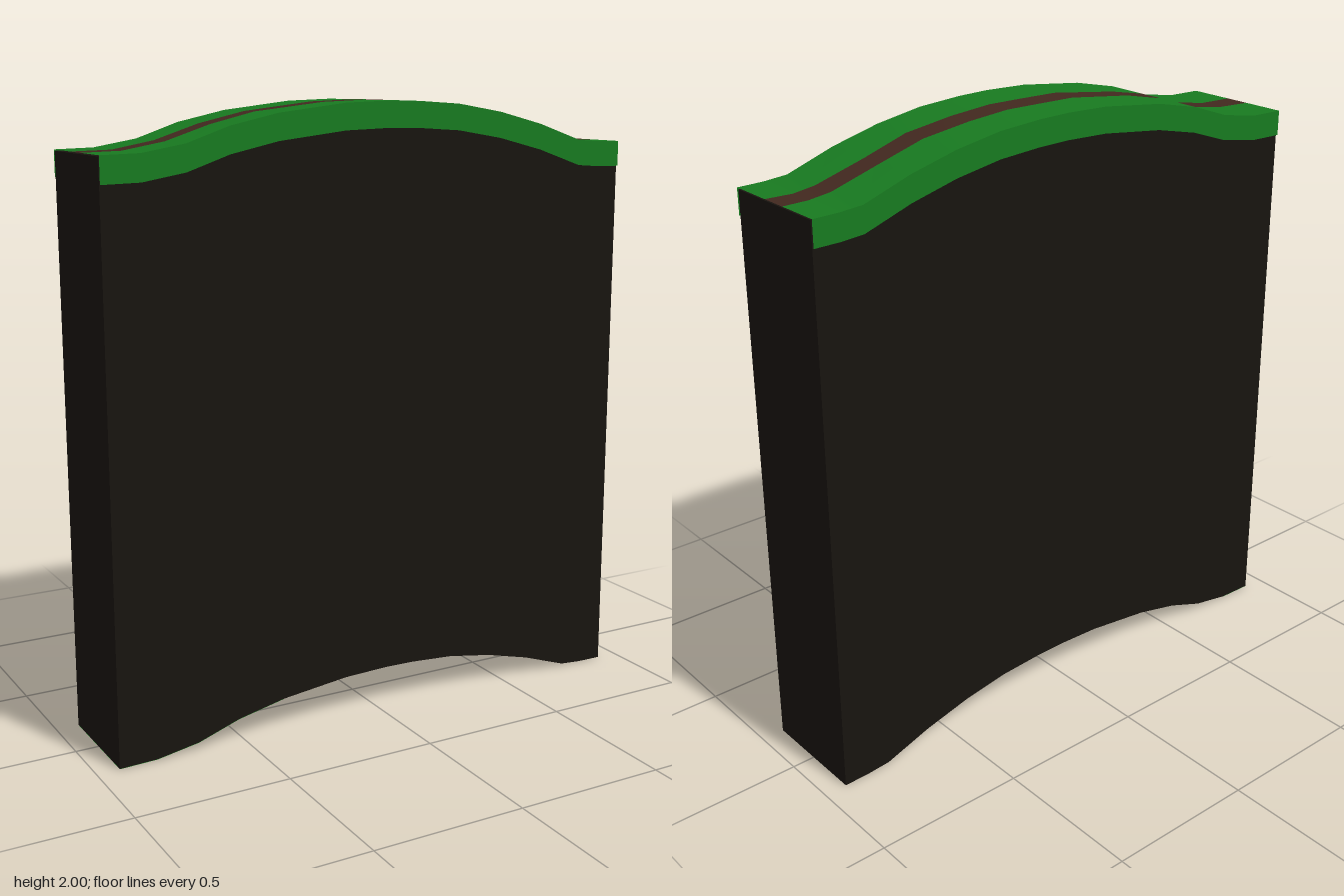
import * as THREE from 'three';

// Stations along the hill: x, underside height, back and front edge of the path
const STATIONS = [
  [-0.925, 0, -0.045, 0.04], [-0.8, 0.003, -0.037, 0.042], [-0.66, 0.027, -0.05, 0.036],
  [-0.52, 0.075, -0.035, 0.05], [-0.36, 0.11, -0.045, 0.027], [-0.13, 0.137, -0.04, 0.045],
  [0.02, 0.142, -0.05, 0.037], [0.13, 0.14, -0.04, 0.047], [0.28, 0.13, -0.047, 0.04],
  [0.44, 0.103, -0.035, 0.05], [0.6, 0.062, -0.047, 0.03], [0.76, 0.007, -0.035, 0.047],
  [0.84, 0.001, -0.045, 0.036], [0.925, 0, -0.045, 0.045],
];
const TOP = 1.858;       // height of the turf above the underside
const LIP = 0.083;       // depth of the turf hanging over the sides
const BODY_Z = 0.186;
const TURF_Z = 0.193;

const material = (color) => new THREE.MeshStandardMaterial({ color, side: THREE.DoubleSide });

// Strip between two edges; each edge maps a station to [y, z]
function ribbon(name, mat, edgeA, edgeB, stations = STATIONS) {
  const pos = [], index = [];
  stations.forEach((s, i) => {
    pos.push(s[0], ...edgeA(s), s[0], ...edgeB(s));
    if (i) {
      const k = 2 * i;
      index.push(k - 2, k - 1, k, k, k - 1, k + 1);
    }
  });
  const geo = new THREE.BufferGeometry();
  geo.setAttribute('position', new THREE.Float32BufferAttribute(pos, 3));
  geo.setIndex(index);
  geo.computeVertexNormals();
  const mesh = new THREE.Mesh(geo, mat);
  mesh.name = name;
  return mesh;
}

export function createModel() {
  const group = new THREE.Group();
  group.name = 'hillSegment';
  const soil = material(0x18140f);
  const grass = material(0x187a20);
  const dirt = material(0x42281f);

  // Soil block, curved above and below
  const shape = new THREE.Shape([
    ...STATIONS.map(([x, y]) => new THREE.Vector2(x, y)),
    ...STATIONS.map(([x, y]) => new THREE.Vector2(x, y + TOP - 0.004)).reverse(),
  ]);
  const bodyGeo = new THREE.ExtrudeGeometry(shape, { depth: 2 * BODY_Z, bevelEnabled: false });
  bodyGeo.translate(0, 0, -BODY_Z);
  const body = new THREE.Mesh(bodyGeo, soil);
  body.name = 'soilBlock';
  group.add(body);

  // Turf on top, either side of the winding path
  const top = (z) => (s) => [s[1] + TOP, z(s)];
  const back = (s) => s[2], front = (s) => s[3];
  group.add(
    ribbon('backTurf', grass, top(() => -TURF_Z), top(back)),
    ribbon('dirtPath', dirt, top(back), top(front)),
    ribbon('frontTurf', grass, top(front), top(() => TURF_Z)),
  );

  // Turf lips hanging over the front and back
  const upper = (z) => (s) => [s[1] + TOP, z];
  const lower = (z) => (s) => [s[1] + TOP - LIP, z];
  group.add(
    ribbon('frontTurfLip', grass, upper(TURF_Z), lower(TURF_Z)),
    ribbon('backTurfLip', grass, lower(-TURF_Z), upper(-TURF_Z)),
  );

  // Green patch under one end, narrowing towards the middle
  const patchEdge = (s) => Math.max(-BODY_Z, BODY_Z - (-0.36 - s[0]) * 0.85);
  group.add(ribbon('undersidePatch', grass,
    (s) => [s[1] - 0.001, BODY_Z], (s) => [s[1] - 0.001, patchEdge(s)], STATIONS.slice(0, 5)));

  return group;
}
